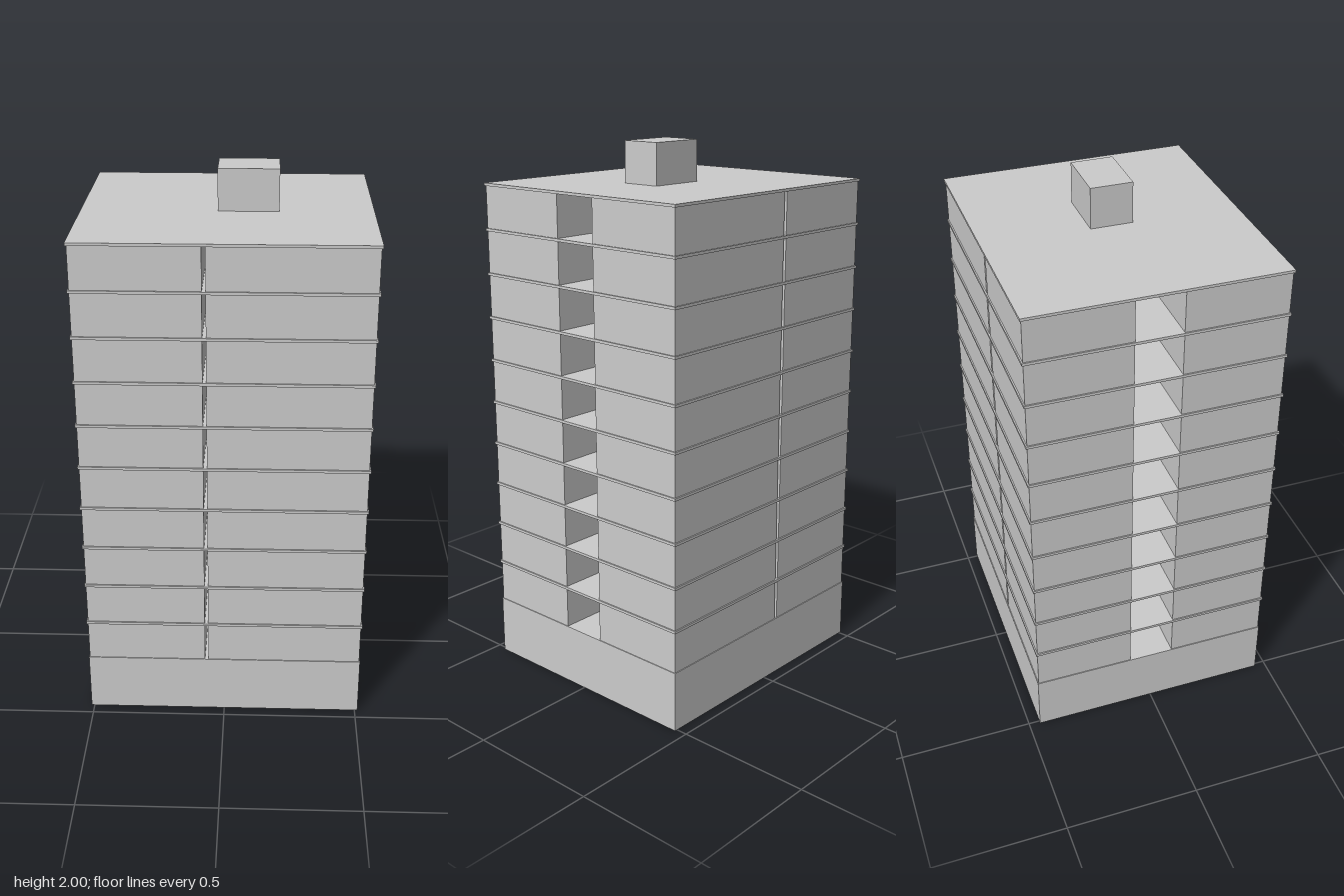
import * as THREE from 'three';

export function createModel() {
  const model = new THREE.Group();
  const concrete = new THREE.MeshStandardMaterial({ color: 0xcccccc });
  concrete.name = 'concrete grey';

  // Box given by its lower and upper limits on each axis
  function block(name, x0, x1, y0, y1, z0, z1, parent = model) {
    const mesh = new THREE.Mesh(new THREE.BoxGeometry(x1 - x0, y1 - y0, z1 - z0), concrete);
    mesh.position.set((x0 + x1) / 2, (y0 + y1) / 2, (z0 + z1) / 2);
    mesh.name = name;
    parent.add(mesh);
  }

  const floors = 10, baseTop = 0.225, roofTop = 1.85, slab = 0.01;
  const pitch = (roofTop - baseTop) / floors;
  const wallX = 0.508, wallZ = 0.455;       // outer walls
  const slabX = 0.513, slabZ = 0.46;        // slabs stand slightly proud
  const slitLeft = -0.072, slitRight = -0.059, corridor = 0.085;

  // Solid ground storey
  block('base', -0.511, 0.511, 0, baseTop, -0.458, 0.458);

  // Each storey: four apartment blocks around a corridor and a slit, below a slab
  for (let i = 0; i < floors; i++) {
    const storey = new THREE.Group();
    storey.name = 'storey' + (i + 1);
    const y0 = baseTop + i * pitch, y1 = y0 + pitch;
    for (const [x0, x1] of [[-wallX, slitLeft], [slitRight, wallX]]) {
      block('frontApartment', x0, x1, y0, y1 - slab, corridor, wallZ, storey);
      block('backApartment', x0, x1, y0, y1 - slab, -wallZ, -corridor, storey);
    }
    block('liftCore', -0.033, 0.182, y0, y1 - slab, -0.076, 0.076, storey);
    block(i === floors - 1 ? 'roofSlab' : 'floorSlab', -slabX, slabX, y1 - slab, y1, -slabZ, slabZ, storey);
    model.add(storey);
  }

  // Lift housing on the roof
  block('liftHousing', -0.033, 0.182, roofTop, 2, -0.076, 0.076);
  return model;
}
